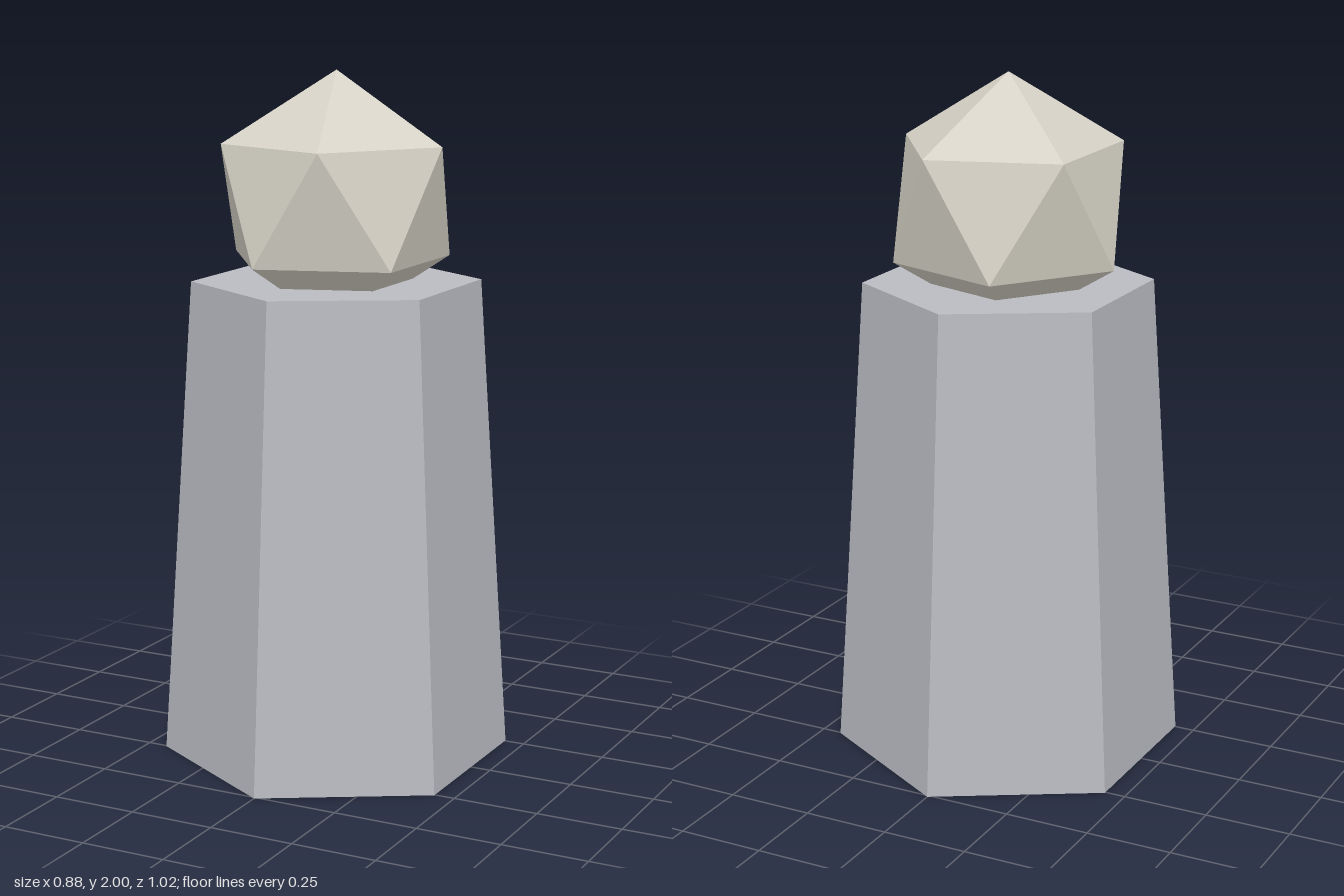
import * as THREE from 'three';

const flat = (color) => new THREE.MeshStandardMaterial({ color, flatShading: true });

export function createModel() {
  const group = new THREE.Group();

  // Tapered six-sided pedestal, corners pointing to front and back
  const height = 1.4;
  const pedestal = new THREE.Mesh(
    new THREE.CylinderGeometry(0.417, 0.508, height, 6),
    flat(0xb9bbc1)
  );
  pedestal.name = 'pedestal';
  pedestal.position.y = height / 2;
  group.add(pedestal);

  // Icosahedron standing on a corner, sunk a little into the pedestal
  const radius = 0.369;
  const golden = (1 + Math.sqrt(5)) / 2;
  const head = new THREE.Mesh(new THREE.IcosahedronGeometry(radius, 0), flat(0xd6d2c6));
  head.name = 'head';
  head.rotation.z = -Math.atan(1 / golden);
  head.position.y = 2 - radius;
  group.add(head);

  return group;
}
